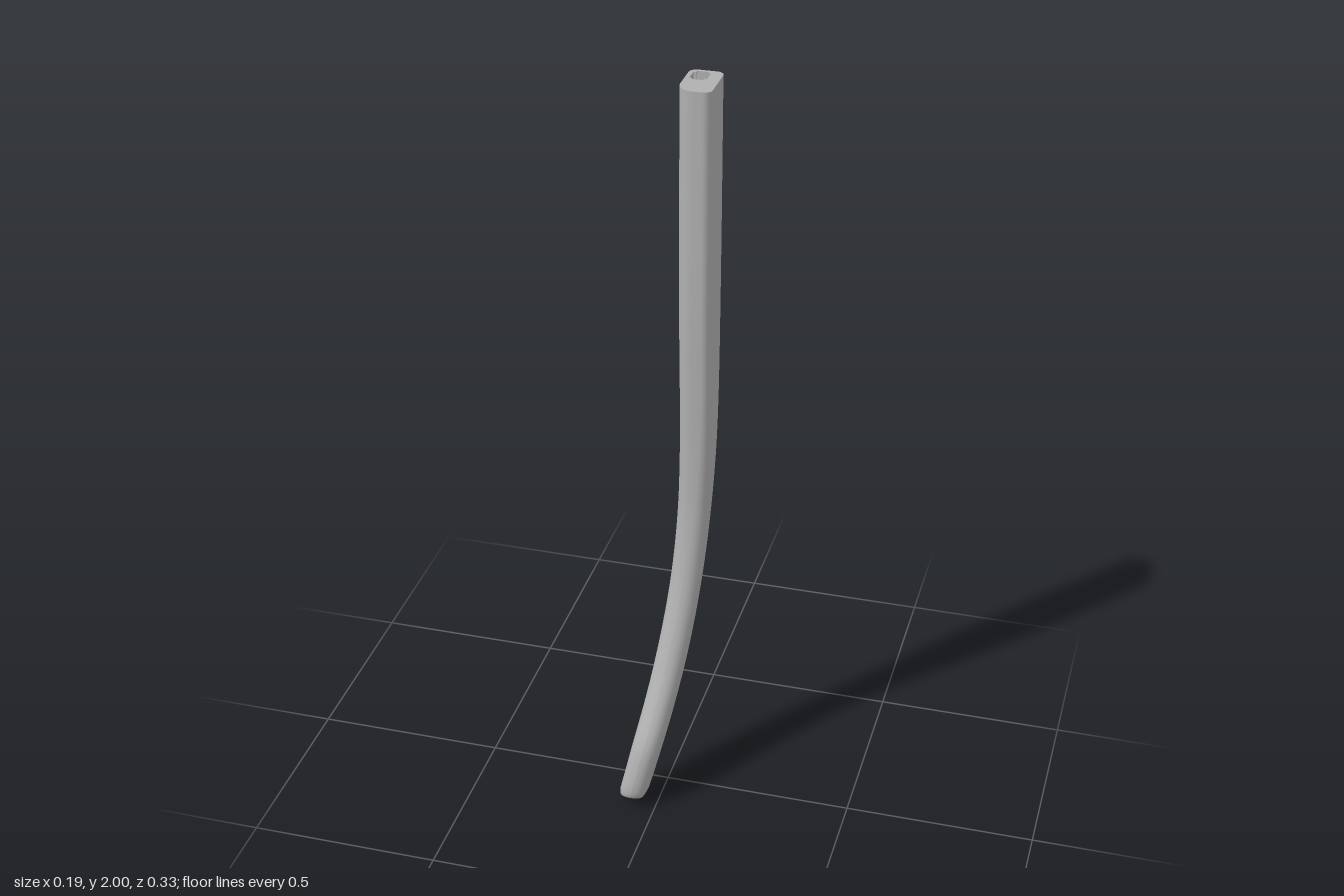
import * as THREE from 'three';

const CORNER = 6, SUB = 6;            // segments per rounded corner, rings per station
const RING = 4 * (CORNER + 1);

// Side profile, top to tip: front z, front y, back z, back y, width factor
const STATIONS = [
  [-0.028, 2.0, -0.166, 2.0, 1],
  [-0.028, 1.9, -0.166, 1.9, 1],
  [-0.028, 1.6, -0.166, 1.6, 1],
  [-0.03, 1.4, -0.164, 1.4, 1],
  [-0.038, 1.2, -0.16, 1.2, 1],
  [-0.047, 1.0, -0.152, 1.0, 1],
  [-0.047, 0.8, -0.136, 0.8, 1],
  [-0.02, 0.6, -0.111, 0.6, 1],
  [0.045, 0.4, -0.07, 0.4, 1],
  [0.092, 0.3, -0.027, 0.27, 1],
  [0.143, 0.2, 0.021, 0.15, 1],
  [0.16, 0.12, 0.05, 0.08, 1],
  [0.165, 0.06, 0.068, 0.03, 1],
  [0.16, 0.041, 0.08, 0.008, 0.85],
  [0.147, 0.031, 0.098, 0.002, 0.5],
];

// Sideways sweep and half width of the arm at a height
const centreX = (y) => 0.052 - 0.124 * Math.max(0, 1 - y / 1.2) ** 2.4;
const halfWidth = (y) => 0.036 + 0.0065 * Math.min(1, y);

// Rounded section between a front and a back point
function section(front, back, w) {
  const y = (front.y + back.y) / 2;
  const hw = halfWidth(y) * w;
  const hl = front.distanceTo(back) / 2;
  const boxy = THREE.MathUtils.smoothstep(y, 0.4, 1.3);
  const round = Math.min(hw, hl) * 0.98;
  const points = [];
  [0.02, 0.045, 0.02, 0.02].forEach((radius, c) => {
    const r = Math.min(round, THREE.MathUtils.lerp(round, radius, boxy));
    const sx = c === 0 || c === 3 ? 1 : -1, sz = c < 2 ? 1 : -1;
    for (let i = 0; i <= CORNER; i++) {
      const a = (c + i / CORNER) * Math.PI / 2;
      const u = sx * (hw - r) + r * Math.cos(a);
      const v = sz * (hl - r) + r * Math.sin(a);
      const p = back.clone().lerp(front, 0.5 + v / (2 * hl));
      p.x = centreX(p.y) + u;
      points.push(p);
    }
  });
  return points;
}

// Lofted arm with an opening left for the inner hinge panel
function armGeometry(rings) {
  const positions = rings.flat().flatMap((p) => [p.x, p.y, p.z]);
  const index = [];
  for (let r = 0; r < rings.length - 1; r++) {
    for (let i = 0; i < RING; i++) {
      if (r < SUB && i === 2 * CORNER + 1) continue;
      const j = (i + 1) % RING;
      const a = r * RING + i, b = r * RING + j, c = a + RING, d = b + RING;
      index.push(a, b, c, b, d, c);
    }
  }
  // Rounded tip closes on one point
  const last = rings[rings.length - 1];
  const tip = last.reduce((s, p) => s.add(p), new THREE.Vector3()).divideScalar(RING);
  tip.y -= 0.002;
  positions.push(tip.x, tip.y, tip.z);
  const base = (rings.length - 1) * RING;
  for (let i = 0; i < RING; i++) index.push(base + i, base + (i + 1) % RING, rings.length * RING);
  const g = new THREE.BufferGeometry();
  g.setAttribute('position', new THREE.Float32BufferAttribute(positions, 3));
  g.setIndex(index);
  g.computeVertexNormals();
  return g;
}

// Inward-facing walls hanging below an outline in (x, -z)
function wallGeometry(outline, top, bottom) {
  const pos = [];
  outline.forEach((p, i) => {
    const q = outline[(i + 1) % outline.length];
    const a = [p.x, top, -p.y], b = [q.x, top, -q.y], c = [p.x, bottom, -p.y], d = [q.x, bottom, -q.y];
    pos.push(...a, ...b, ...c, ...b, ...d, ...c);
  });
  const g = new THREE.BufferGeometry();
  g.setAttribute('position', new THREE.Float32BufferAttribute(pos, 3));
  g.computeVertexNormals();
  return g;
}

export function createModel() {
  const model = new THREE.Group();
  model.name = 'glassesTemple';
  const grey = new THREE.MeshStandardMaterial({ color: 0xb0b0b0, side: THREE.DoubleSide });
  grey.name = 'grey';
  const add = (name, geometry) => {
    const mesh = new THREE.Mesh(geometry, grey);
    mesh.name = name;
    model.add(mesh);
    return mesh;
  };

  // Arm
  const curve = (k) => new THREE.CatmullRomCurve3(STATIONS.map((s) => new THREE.Vector3(0, s[k + 1], s[k])));
  const front = curve(0), back = curve(2);
  const count = (STATIONS.length - 1) * SUB;
  const rings = [];
  for (let r = 0; r <= count; r++) {
    const s = Math.min(Math.floor(r / SUB), STATIONS.length - 2);
    const w = THREE.MathUtils.lerp(STATIONS[s][4], STATIONS[s + 1][4], r / SUB - s);
    rings.push(section(front.getPoint(r / count), back.getPoint(r / count), w));
  }
  add('arm', armGeometry(rings));

  // Hinge pocket outline: a rectangle with notched corners
  const x0 = 0.021, x1 = 0.064, z0 = 0.104, z1 = 0.157, n = 0.007;
  const pocket = [
    [x0 + n, z0], [x1 - n, z0], [x1 - n, z0 + n], [x1, z0 + n],
    [x1, z1 - n], [x1 - n, z1 - n], [x1 - n, z1], [x0 + n, z1],
    [x0 + n, z1 - n], [x0, z1 - n], [x0, z0 + n], [x0 + n, z0 + n],
  ].map(([x, y]) => new THREE.Vector2(x, y));
  const depth = 0.1;

  // Flat end with the pocket opening
  const end = new THREE.Shape(rings[0].map((p) => new THREE.Vector2(p.x, -p.z)));
  end.holes.push(new THREE.Path(pocket));
  add('endFace', new THREE.ShapeGeometry(end).rotateX(-Math.PI / 2)).position.y = 2;
  add('hingePocketWalls', wallGeometry(pocket, 2, 2 - depth));
  add('hingePocketFloor', new THREE.ShapeGeometry(new THREE.Shape(pocket)).rotateX(-Math.PI / 2))
    .position.y = 2 - depth;

  // Inner panel with the screw hole
  const a = rings[0][2 * CORNER + 1], b = rings[0][2 * CORNER + 2];
  const holeZ = -0.13, holeY = 1.945, holeR = 0.012;
  const panel = new THREE.Shape([[b.z, 1.9], [a.z, 1.9], [a.z, 2], [b.z, 2]]
    .map(([z, y]) => new THREE.Vector2(z, y)));
  panel.holes.push(new THREE.Path().absarc(holeZ, holeY, holeR, 0, Math.PI * 2));
  add('innerPanel', new THREE.ShapeGeometry(panel, 12).rotateY(-Math.PI / 2)).position.x = a.x;
  const length = x0 - a.x;
  add('screwHole', new THREE.CylinderGeometry(holeR, holeR, length, 24, 1, true).rotateZ(Math.PI / 2))
    .position.set(a.x + length / 2, holeY, holeZ);

  return model;
}
